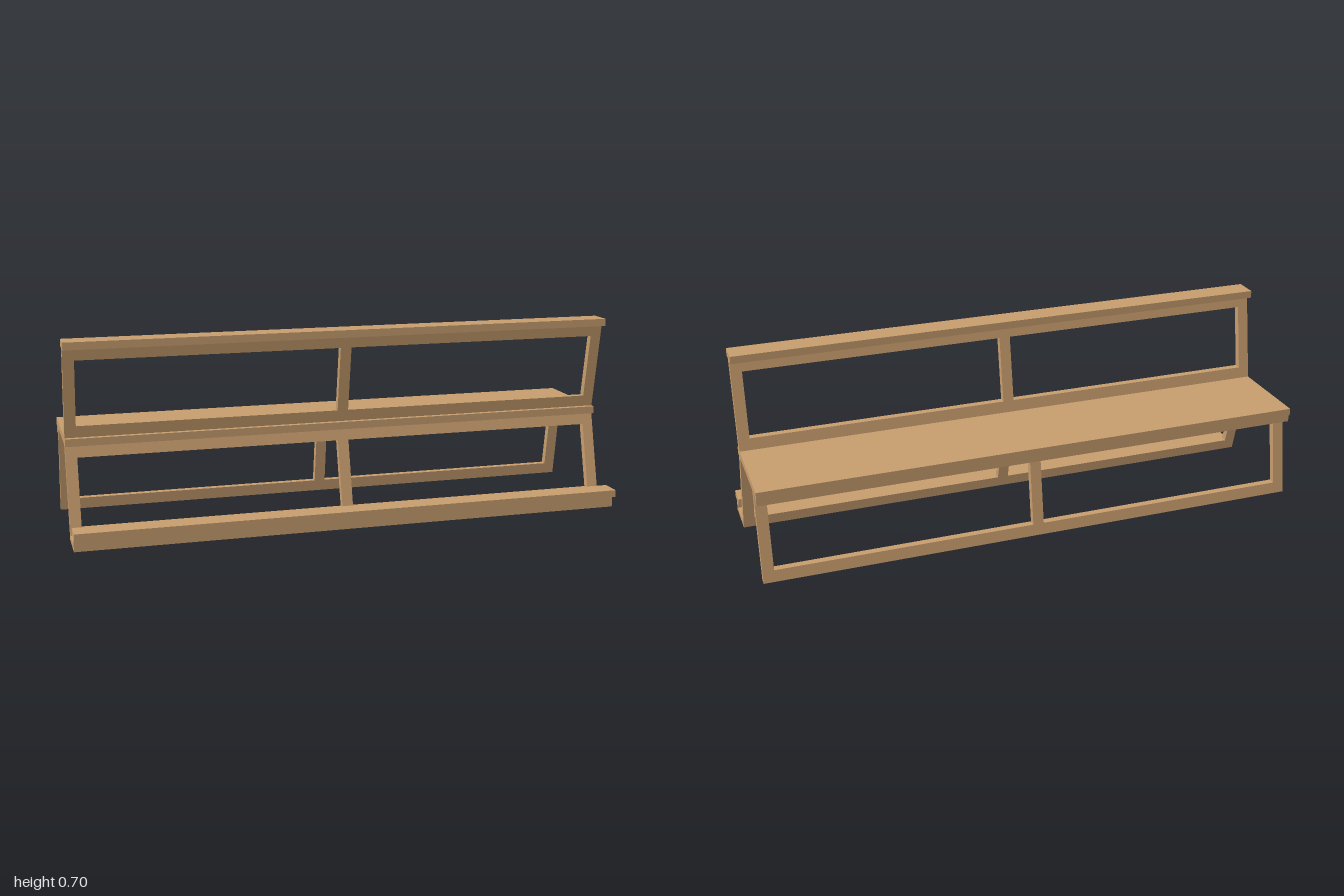
import * as THREE from 'three';

const LENGTH = 2;
const wood = new THREE.MeshStandardMaterial({ color: 0xc69c6d });
wood.name = 'wood';

// Full-length board given by its z and y ranges
function board(name, z0, z1, y0, y1) {
  const geometry = new THREE.BoxGeometry(LENGTH, y1 - y0, z1 - z0);
  geometry.translate(0, (y0 + y1) / 2, (z0 + z1) / 2);
  const mesh = new THREE.Mesh(geometry, wood);
  mesh.name = name;
  return mesh;
}

function rectangle(path, x0, x1, y0, y1) {
  path.moveTo(x0, y0);
  path.lineTo(x1, y0);
  path.lineTo(x1, y1);
  path.lineTo(x0, y1);
  path.closePath();
  return path;
}

// Leaning frame with two openings: centre line runs from (y0, z0) to (y1, z1)
function frame(name, y0, z0, y1, z1) {
  const thickness = 0.026, rail = 0.042, post = 0.04;
  const shape = rectangle(new THREE.Shape(), -1, 1, y0, y1);
  for (const [a, b] of [[-1 + post, -post / 2], [post / 2, 1 - post]]) {
    shape.holes.push(rectangle(new THREE.Path(), a, b, y0 + rail, y1 - rail));
  }
  const geometry = new THREE.ExtrudeGeometry(shape, { depth: thickness, bevelEnabled: false });
  geometry.translate(0, 0, -thickness / 2);

  // Lean by shearing, so the ends stay level with the boards
  const p = geometry.attributes.position;
  for (let i = 0; i < p.count; i++) {
    const t = (p.getY(i) - y0) / (y1 - y0);
    p.setZ(i, p.getZ(i) + z0 + (z1 - z0) * t);
  }
  geometry.computeVertexNormals();
  const mesh = new THREE.Mesh(geometry, wood);
  mesh.name = name;
  return mesh;
}

export function createModel() {
  const model = new THREE.Group();
  model.name = 'bench';

  // Seat with the strip under its rear edge
  model.add(board('seat', -0.289, 0.082, 0.322, 0.349));
  model.add(board('seatStrip', -0.282, -0.265, 0.295, 0.322));

  // Backrest and top ledge
  model.add(frame('backrestFrame', 0.349, 0.05, 0.67, 0.107));
  model.add(board('topLedge', 0.063, 0.149, 0.67, 0.697));

  // Supporting frames
  model.add(frame('frontLegFrame', 0, 0.135, 0.322, 0.051));
  model.add(frame('rearLegFrame', 0, -0.276, 0.322, -0.223));

  // Low rest joined to the front frame
  const kneeler = new THREE.Group();
  kneeler.name = 'kneeler';
  kneeler.add(board('kneelerBase', 0.135, 0.264, 0, 0.021));
  kneeler.add(board('kneelerRiser', 0.241, 0.264, 0.021, 0.044));
  kneeler.add(board('kneelerTop', 0.212, 0.289, 0.044, 0.07));
  model.add(kneeler);

  return model;
}
